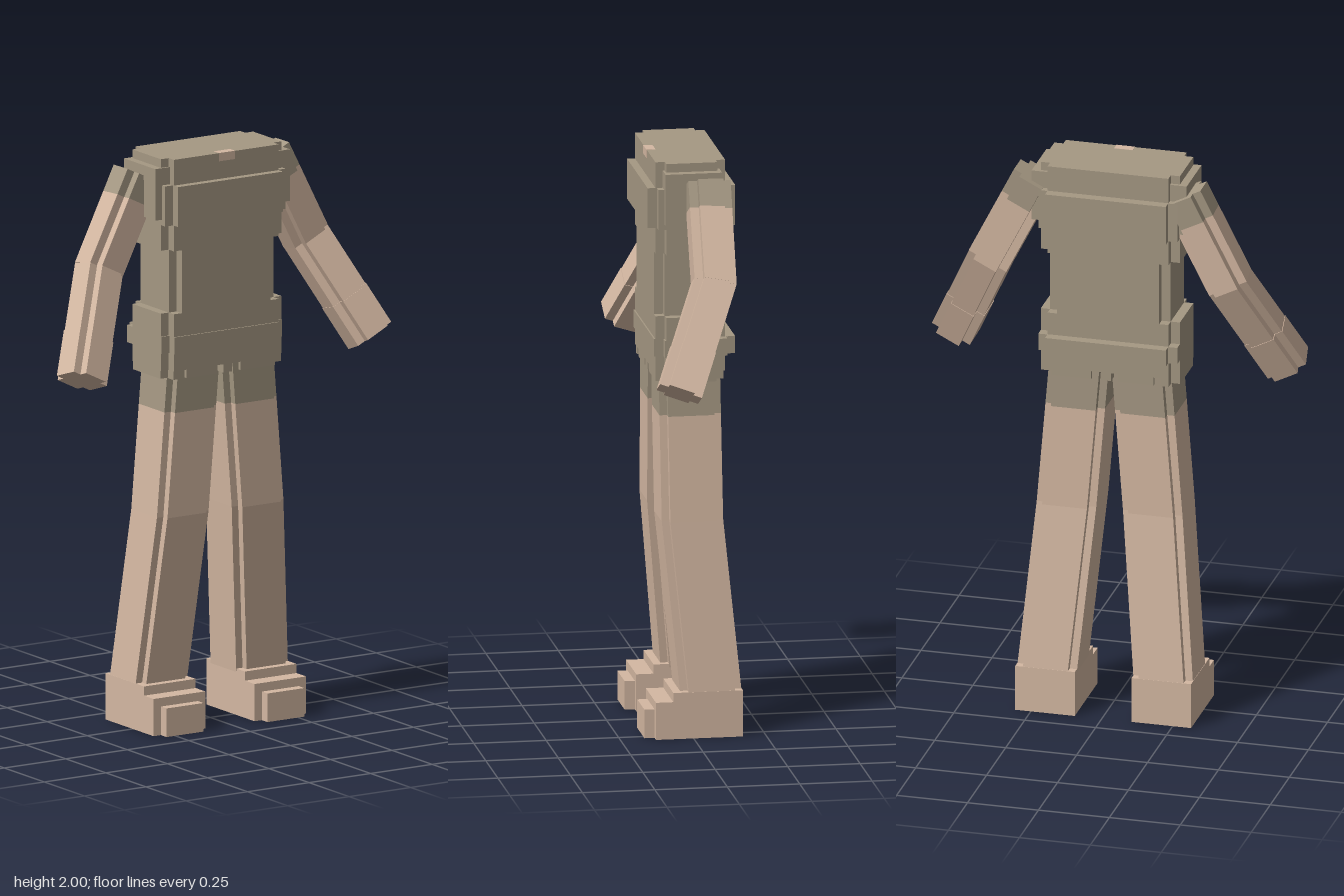
import * as THREE from 'three';

const V = (x, y, z) => new THREE.Vector3(x, y, z);

// Rectangle with stepped corners, counter-clockwise in (u, v)
function notchedRing(w, d, n) {
  const a = w / 2, b = d / 2;
  return [
    [a, -b + n], [a, b - n], [a - n, b - n], [a - n, b], [-a + n, b], [-a + n, b - n],
    [-a, b - n], [-a, -b + n], [-a + n, -b + n], [-a + n, -b], [a - n, -b], [a - n, -b + n],
  ];
}

// Joins two stations { c, u, v }, running from top to bottom, and caps both ends
function loft(s0, s1, w, d, n) {
  const ring = notchedRing(w, d, n);
  const place = (s) => ring.map(([p, q]) => s.c.clone().addScaledVector(s.u, p).addScaledVector(s.v, q));
  const A = place(s0), B = place(s1), pos = [];
  const tri = (...pts) => pts.forEach((p) => pos.push(p.x, p.y, p.z));
  for (let i = 0; i < ring.length; i++) {
    const j = (i + 1) % ring.length;
    tri(A[i], A[j], B[j]);
    tri(A[i], B[j], B[i]);
    tri(s1.c, B[i], B[j]);
    tri(s0.c, A[j], A[i]);
  }
  const g = new THREE.BufferGeometry();
  g.setAttribute('position', new THREE.Float32BufferAttribute(pos, 3));
  g.computeVertexNormals();
  return g;
}

const mix = (a, b, t) => ({
  c: a.c.clone().lerp(b.c, t),
  u: a.u.clone().lerp(b.u, t),
  v: a.v.clone().lerp(b.v, t),
});

export function createModel() {
  const model = new THREE.Group();
  model.name = 'headlessFigure';
  const cloth = new THREE.MeshStandardMaterial({ color: 0xa59883 });
  cloth.name = 'taupe cloth';
  const skin = new THREE.MeshStandardMaterial({ color: 0xd4b8a2 });
  skin.name = 'tan skin';

  function add(parent, name, geo, mat) {
    const m = new THREE.Mesh(geo, mat);
    m.name = name;
    parent.add(m);
  }
  // Axis-aligned block given by its limits
  function block(parent, name, mat, [x0, x1], [y0, y1], [z0, z1]) {
    const g = new THREE.BoxGeometry(x1 - x0, y1 - y0, z1 - z0);
    g.translate((x0 + x1) / 2, (y0 + y1) / 2, (z0 + z1) / 2);
    add(parent, name, g, mat);
  }
  const flat = (x, y, z) => ({ c: V(x, y, z), u: V(1, 0, 0), v: V(0, 0, 1) });

  // Torso: stacked layers with stepped corners
  const torso = new THREE.Group();
  torso.name = 'torso';
  model.add(torso);
  const layers = [
    ['shoulders', 1.91, 2.0, 0.49, -0.125, 0.115],
    ['chest', 1.77, 1.91, 0.49, -0.16, 0.142],
    ['ribs', 1.68, 1.77, 0.49, -0.125, 0.115],
    ['waist', 1.46, 1.68, 0.425, -0.125, 0.115],
    ['hips', 1.38, 1.46, 0.49, -0.125, 0.115],
    ['belt', 1.32, 1.38, 0.49, -0.16, 0.12],
    ['shirtHem', 1.26, 1.32, 0.49, -0.125, 0.115],
  ];
  for (const [name, y0, y1, w, z0, z1] of layers) {
    const z = (z0 + z1) / 2;
    add(torso, name, loft(flat(-0.01, y1, z), flat(-0.01, y0, z), w, z1 - z0, 0.032), cloth);
  }
  block(torso, 'shoulderCaps', cloth, [-0.282, 0.265], [1.79, 1.97], [-0.105, 0.09]);
  block(torso, 'neckPatch', skin, [-0.04, 0.025], [1.972, 2.001], [0.085, 0.117]);

  // Ragged teeth under the hem
  for (const [x0, x1] of [[-0.223, -0.195], [-0.17, -0.045], [-0.02, 0.015], [0.05, 0.19]]) {
    block(torso, 'hemTooth', cloth, [x0, x1], [1.23, 1.26], [-0.122, 0.112]);
  }
  for (const [x0, x1] of [[-0.255, -0.2], [0.18, 0.235]]) {
    block(torso, 'hemSide', cloth, [x0, x1], [1.232, 1.26], [-0.09, 0.08]);
  }

  for (const s of [-1, 1]) {
    const side = s > 0 ? 'left' : 'right';

    // Leg: short trouser leg, thigh and shin
    const leg = new THREE.Group();
    leg.name = side + 'Leg';
    model.add(leg);
    const hip = flat(-0.007 + s * 0.108, 1.29, -0.005);
    const knee = flat(-0.006 + s * 0.152, 0.745, -0.009);
    const ankle = flat(-0.005 + s * 0.205, 0.15, -0.064);
    const cuff = mix(hip, knee, 0.33);
    add(leg, 'shorts', loft(hip, cuff, 0.21, 0.212, 0.026), cloth);
    add(leg, 'thigh', loft(cuff, knee, 0.21, 0.212, 0.026), skin);
    add(leg, 'shin', loft(knee, ankle, 0.21, 0.212, 0.026), skin);

    // Foot: three steps down to the toe
    const fx = -0.005 + s * 0.205;
    const wide = [fx - 0.105, fx + 0.105];
    block(leg, 'heel', skin, wide, [0, 0.162], [-0.17, 0.07]);
    block(leg, 'instep', skin, wide, [0, 0.13], [0.07, 0.13]);
    block(leg, 'toe', skin, [fx - 0.075, fx + 0.075], [0, 0.1], [0.13, 0.165]);

    // Arm: sleeve, upper arm, forearm and hand, bent forward at the elbow
    const arm = new THREE.Group();
    arm.name = side + 'Arm';
    model.add(arm);
    const lift = s > 0 ? 0.01 : 0;
    const p = [V(s * 0.262, 1.923 + lift, -0.055), V(s * 0.42, 1.61 + lift, -0.05), V(s * 0.585, 1.27 + lift, 0.097)];
    const upper = p[1].clone().sub(p[0]).normalize();
    const lower = p[2].clone().sub(p[1]).normalize();
    const u = V(-upper.y, upper.x, 0).normalize();
    const station = (c, t) => ({ c, u, v: t.clone().cross(u).normalize() });
    const shoulder = station(p[0], upper);
    const elbow = station(p[1], upper.clone().add(lower).normalize());
    const tip = station(p[2], lower);
    const sleeveEnd = mix(shoulder, elbow, 0.27);
    const wrist = mix(elbow, tip, 0.6);
    add(arm, 'sleeve', loft(shoulder, sleeveEnd, 0.148, 0.146, 0.03), cloth);
    add(arm, 'upperArm', loft(sleeveEnd, elbow, 0.148, 0.146, 0.03), skin);
    add(arm, 'forearm', loft(elbow, wrist, 0.146, 0.146, 0.03), skin);
    add(arm, 'hand', loft(wrist, tip, 0.15, 0.15, 0.03), skin);
  }
  return model;
}
